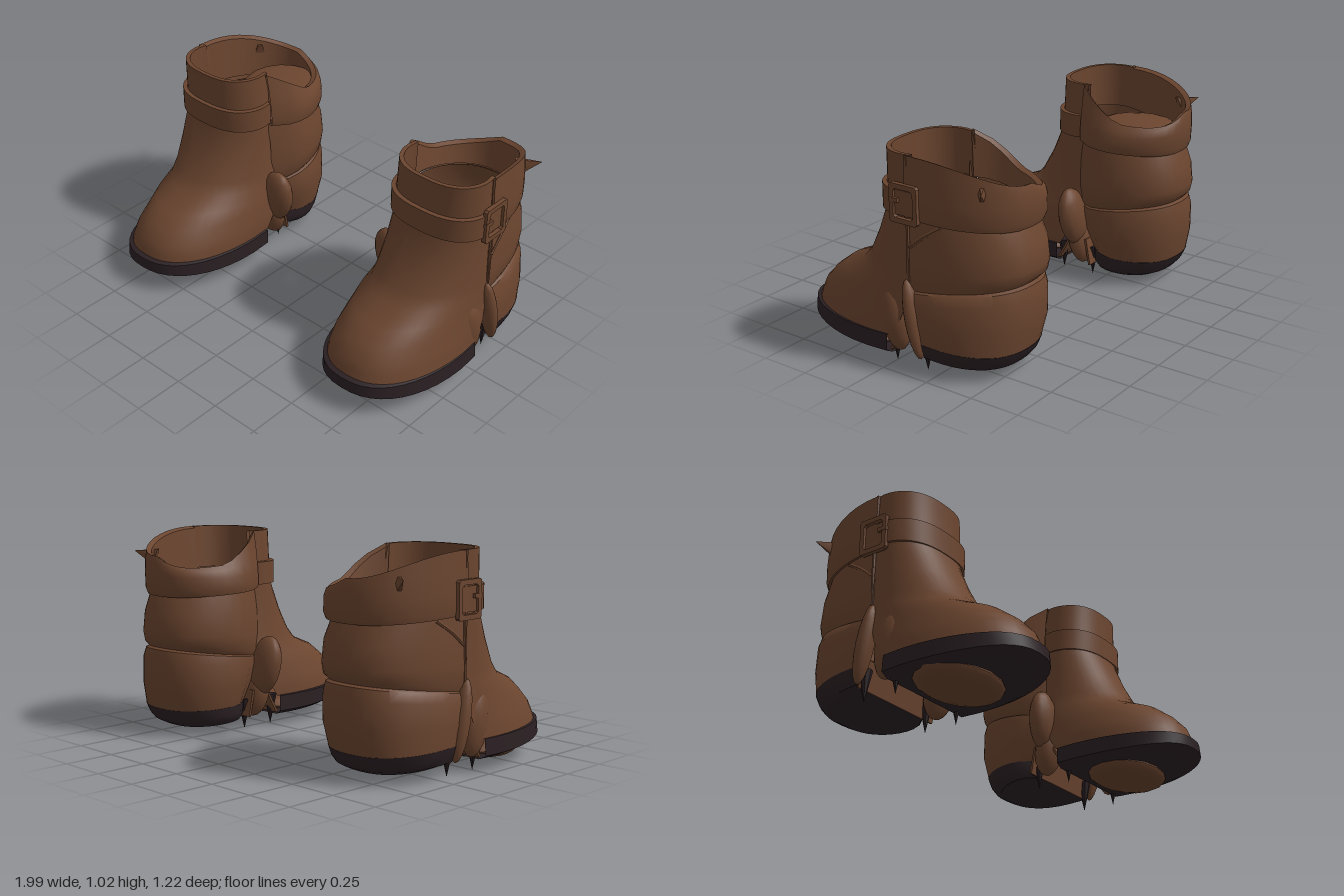
import * as THREE from 'three';
import { toCreasedNormals } from 'three/addons/utils/BufferGeometryUtils.js';

const leather = new THREE.MeshStandardMaterial({ name: 'brown leather', color: 0x6b452f, side: THREE.DoubleSide });
const rubber = new THREE.MeshStandardMaterial({ name: 'dark sole', color: 0x2b2023, side: THREE.DoubleSide });

// Lofts U-shaped rings, listed bottom to top.
// ring = [ySide, yTip, zTip, zSeam, xInner, xOuter, squareness, yCurve, innerDrop]
function loft(rings) {
  const n = 24, pos = [], idx = [];
  const isBack = rings.some((r) => r[2] < r[3]);
  rings.forEach(([ySide, yTip, zTip, zSeam, xIn, xOut, p, k, drop = 0]) => {
    for (let j = 0; j <= n; j++) {
      const t = (j / n) * Math.PI, c = Math.cos(t), s = Math.max(0, Math.sin(t));
      const d = Math.pow(s, 2 / p);
      let w = Math.sign(c) * Math.pow(Math.abs(c), 2 / p);
      const fall = drop * Math.max(0, -w) * Math.min(1, 2 * d);
      // narrow the waist: front on both sides, back on its inner side only
      const tuck = isBack ? (c < 0 ? 0.3 : 0) : 0.05;
      w *= 1 - tuck * Math.pow(1 - d, 5);
      pos.push((xIn + xOut) / 2 + ((xOut - xIn) / 2) * w,
        ySide + (yTip - ySide) * Math.pow(d, k) - fall, zSeam + (zTip - zSeam) * d);
    }
  });
  for (let i = 0; i < rings.length - 1; i++) {
    for (let j = 0; j < n; j++) {
      const a = i * (n + 1) + j, b = a + 1, c = a + n + 1, d = c + 1;
      if (isBack) idx.push(a, b, c, b, d, c);
      else idx.push(a, c, b, b, c, d);
    }
  }
  const g = new THREE.BufferGeometry();
  g.setAttribute('position', new THREE.Float32BufferAttribute(pos, 3));
  g.setIndex(idx);
  return g;
}

// A ring shrunk to the middle of its seam, used for closing a loft
const shrink = ([y, , , z, xi, xo, p, k]) => [y, y, z, z, (xi + xo) / 2, (xi + xo) / 2, p, k];

function blob(x, y, z, rx, ry, rz, tilt = 0, lean = 0) {
  return new THREE.SphereGeometry(1, 16, 10).scale(rx, ry, rz).rotateZ(lean).rotateX(tilt).translate(x, y, z);
}

function tube(points, r) {
  const curve = new THREE.CatmullRomCurve3(points.map((p) => new THREE.Vector3(...p)));
  return new THREE.TubeGeometry(curve, 12, r, 6);
}

function createBoot(side) {
  const boot = new THREE.Group();
  boot.name = side > 0 ? 'leftBoot' : 'rightBoot';
  const add = (name, geo, mat = leather) => {
    let g = geo;
    if (!g.index) g.setIndex([...Array(g.attributes.position.count).keys()]);
    if (side < 0) {
      g.scale(-1, 1, 1);
      const a = g.index.array;
      for (let i = 0; i < a.length; i += 3) [a[i], a[i + 1]] = [a[i + 1], a[i]];
    }
    g.deleteAttribute('uv');
    g = toCreasedNormals(g, 0.7);
    const mesh = new THREE.Mesh(g, mat);
    mesh.name = name;
    boot.add(mesh);
  };

  // Front sole
  const sole = [
    [0.06, 0.09, 0.55, -0.01, 0.4, 0.96, 2.4, 3],
    [0.08, 0.115, 0.61, -0.01, 0.365, 1.0, 2.4, 3],
    [0.16, 0.17, 0.605, -0.01, 0.365, 0.995, 2.4, 3],
    [0.165, 0.178, 0.57, -0.01, 0.38, 0.98, 2.4, 3],
  ];
  add('frontSole', loft(sole), rubber);
  add('frontSoleBottom', loft([shrink(sole[0]), sole[0]]), rubber);
  add('archBulge', blob(0.71, 0.07, 0.2, 0.25, 0.06, 0.18));

  // Toe, instep and front of the shaft: [y, zTip, zSeam, xInner, xOuter, squareness]
  const vamp = [
    [0.16, 0.585, -0.02, 0.375, 0.99, 2.4], [0.205, 0.57, -0.05, 0.375, 0.985, 2.4],
    [0.25, 0.555, -0.08, 0.38, 0.98, 2.3], [0.31, 0.5, -0.1, 0.39, 0.97, 2.2],
    [0.37, 0.42, -0.12, 0.4, 0.965, 2.2], [0.42, 0.3, -0.13, 0.415, 0.96, 2.2],
    [0.48, 0.24, -0.13, 0.425, 0.955, 2.3], [0.6, 0.17, -0.13, 0.44, 0.95, 2.4],
    [0.74, 0.105, -0.13, 0.45, 0.945, 2.5], [0.86, 0.09, -0.13, 0.455, 0.945, 2.6],
    [1.02, 0.09, -0.13, 0.465, 0.945, 2.6], [1.02, 0.07, -0.13, 0.485, 0.925, 2.6],
    [0.8, 0.07, -0.13, 0.475, 0.915, 2.6],
  ];
  add('vamp', loft(vamp.map(([y, zt, zs, xi, xo, p]) => [y, y, zt, zs, xi, xo, p, 1])));

  // Heel block
  const heel = [
    [0.07, 0.04, -0.49, -0.19, 0.41, 0.91, 2.4, 1],
    [0.08, 0.06, -0.53, -0.19, 0.39, 0.94, 2.4, 1],
    [0.115, 0.09, -0.555, -0.19, 0.38, 0.955, 2.4, 1],
    [0.155, 0.135, -0.575, -0.19, 0.375, 0.965, 2.4, 1],
  ];
  add('heelSole', loft(heel), rubber);
  add('heelBottom', loft([shrink(heel[0]), heel[0]]), rubber);
  add('insole', loft([heel[3], shrink(heel[3])]), rubber);

  // Three padded bands around the back
  add('heelCounter', loft([
    [0.155, 0.135, -0.573, -0.19, 0.376, 0.964, 2.4, 1],
    [0.25, 0.25, -0.598, -0.16, 0.35, 0.97, 2.4, 1],
    [0.34, 0.39, -0.602, -0.12, 0.35, 0.965, 2.4, 1],
    [0.38, 0.44, -0.59, -0.11, 0.36, 0.95, 2.4, 1],
    [0.39, 0.455, -0.56, -0.11, 0.39, 0.93, 2.4, 1],
  ]));
  add('anklePanel', loft([
    [0.375, 0.445, -0.57, -0.11, 0.38, 0.935, 2.4, 1],
    [0.41, 0.475, -0.6, -0.11, 0.355, 0.947, 2.4, 1],
    [0.5, 0.52, -0.61, -0.11, 0.35, 0.95, 2.4, 1],
    [0.62, 0.62, -0.598, -0.11, 0.355, 0.945, 2.4, 1],
    [0.74, 0.72, -0.555, -0.11, 0.38, 0.935, 2.4, 1],
  ]));
  add('collar', loft([
    [0.74, 0.715, -0.555, -0.11, 0.37, 0.935, 2.3, 1],
    [0.735, 0.71, -0.58, -0.11, 0.342, 0.95, 2.3, 1],
    [0.76, 0.74, -0.592, -0.11, 0.335, 0.955, 2.3, 1],
    [0.83, 0.82, -0.594, -0.11, 0.34, 0.955, 2.3, 1, 0.02],
    [0.93, 0.88, -0.59, -0.11, 0.355, 0.95, 2.3, 1.6, 0.08],
    [1.02, 0.91, -0.58, -0.11, 0.375, 0.945, 2.3, 2.2, 0.14],
    [1.01, 0.9, -0.555, -0.11, 0.4, 0.92, 2.3, 2.2, 0.14],
    [0.8, 0.74, -0.535, -0.11, 0.42, 0.905, 2.3, 1],
  ]));
  add('collarTip', new THREE.ConeGeometry(0.05, 0.12, 6).scale(1, 1, 0.5)
    .rotateZ(-1.3).rotateY(0.6).translate(0.885, 0.9, -0.48));
  if (side < 0) add('innerPad', blob(0.59, 0.82, -0.35, 0.2, 0.035, 0.205));

  // Stitched seams on the outer side
  add('sideSeam', tube([[0.944, 0.4, -0.12], [0.945, 0.7, -0.12], [0.94, 1.02, -0.115]], 0.009));
  add('ankleSeam', tube([[0.945, 0.6, -0.13], [0.938, 0.66, -0.2], [0.922, 0.72, -0.29]], 0.009));

  // Strap and buckle
  const strapRing = (y, o) => [y, y, 0.09 + o, -0.12, 0.455 - o, 0.945 + o, 2.6, 1];
  add('strap', loft([strapRing(0.75, 0), strapRing(0.745, 0.02), strapRing(0.86, 0.02), strapRing(0.862, 0)]));
  add('strapEnd', new THREE.BoxGeometry(0.02, 0.115, 0.13).translate(0.946, 0.802, -0.11));
  const frame = new THREE.Shape();
  const box = (path, a, b) => {
    const c = 0.01;
    path.moveTo(-a, -b + c).lineTo(-a, b - c).lineTo(-a + c, b).lineTo(a - c, b)
      .lineTo(a, b - c).lineTo(a, -b + c).lineTo(a - c, -b).lineTo(-a + c, -b).closePath();
    return path;
  };
  box(frame, 0.077, 0.09);
  frame.holes.push(box(new THREE.Path(), 0.054, 0.066));
  add('buckleFrame', new THREE.ExtrudeGeometry(frame, { depth: 0.022, bevelEnabled: false })
    .rotateY(Math.PI / 2).translate(0.948, 0.802, -0.115));
  add('bucklePin', new THREE.BoxGeometry(0.02, 0.02, 0.05).translate(0.962, 0.815, -0.06));

  // Walls closing the sole and heel at the arch
  add('archFrontWall', new THREE.BoxGeometry(0.52, 0.14, 0.012).rotateX(-0.5).translate(0.68, 0.13, -0.03));
  add('archHeelWall', new THREE.BoxGeometry(0.52, 0.14, 0.012).rotateX(0.2).translate(0.67, 0.14, -0.18));

  // Folds where the front and heel meet above the arch
  add('outerFold', blob(0.925, 0.23, -0.02, 0.055, 0.16, 0.075, 0.15));
  add('outerFlap', blob(0.95, 0.26, -0.145, 0.047, 0.19, 0.038, 0.2));
  add('innerFold', blob(0.395, 0.33, -0.1, 0.1, 0.16, 0.06, 0.1, 0.25));
  add('innerFlap', blob(0.46, 0.2, -0.11, 0.09, 0.14, 0.06, 0.2));
  for (const x of [0.47, 0.9]) {
    for (const z of [0, -0.18]) {
      add('soleSpur', new THREE.ConeGeometry(0.035, 0.16, 8).rotateX(Math.PI).translate(x, 0.08, z), rubber);
    }
  }
  return boot;
}

export function createModel() {
  const model = new THREE.Group();
  model.name = 'bootPair';
  model.add(createBoot(1), createBoot(-1));
  return model;
}
